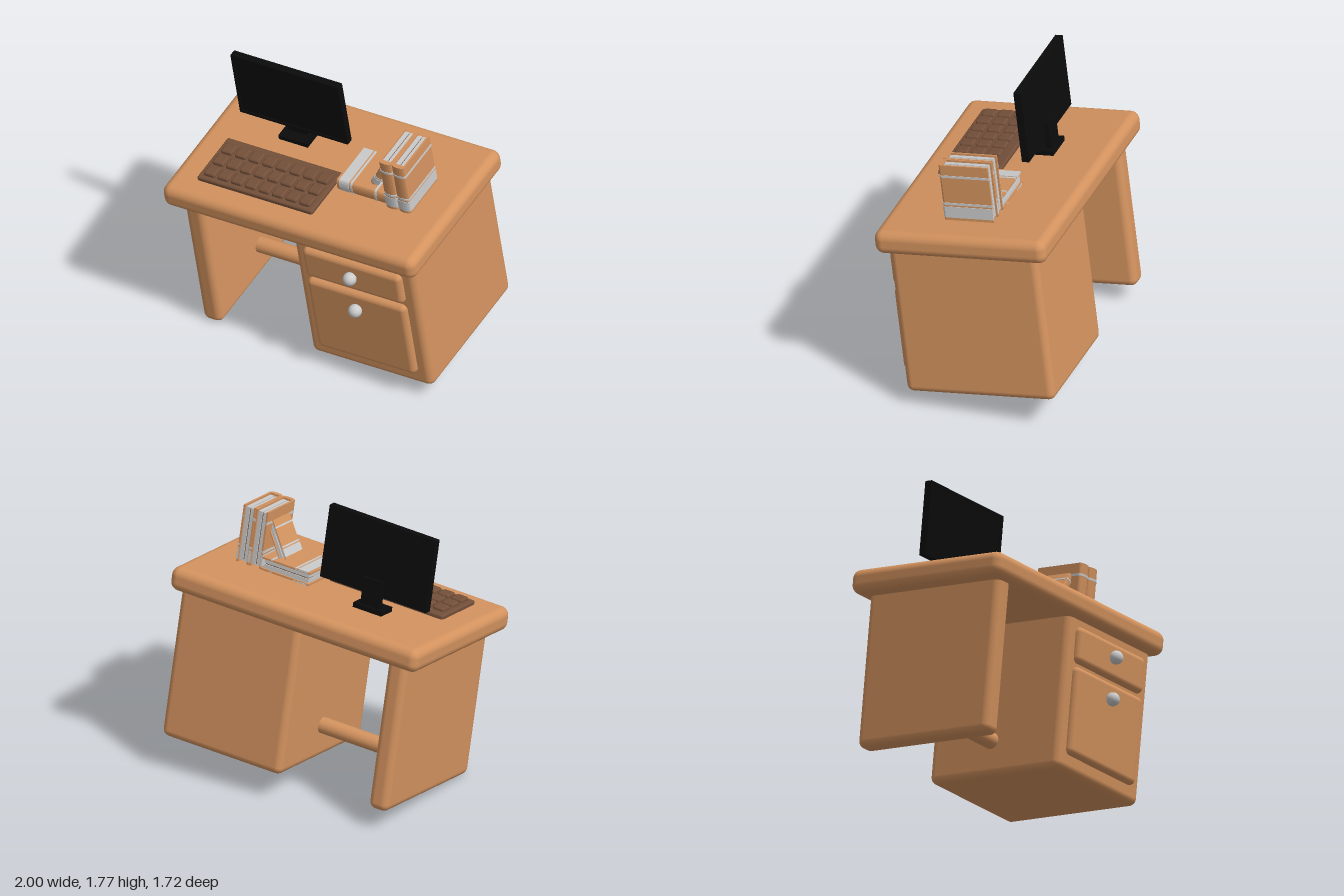
import * as THREE from 'three';
import { RoundedBoxGeometry } from 'three/addons/geometries/RoundedBoxGeometry.js';

const mat = (color) => new THREE.MeshStandardMaterial({ color });
const wood = mat(0xd4935f);
const brown = mat(0x74503a);
const black = mat(0x0b0b0b);
const grey = mat(0xcccccc);

function add(parent, name, geometry, material, x = 0, y = 0, z = 0) {
  const mesh = new THREE.Mesh(geometry, material);
  mesh.name = name;
  mesh.position.set(x, y, z);
  parent.add(mesh);
  return mesh;
}

// Box given by its limits on each axis; radius 0 keeps the edges sharp
function block(parent, name, material, [x0, x1], [y0, y1], [z0, z1], radius = 0) {
  const size = [x1 - x0, y1 - y0, z1 - z0];
  const geometry = radius
    ? new RoundedBoxGeometry(...size, 4, radius)
    : new THREE.BoxGeometry(...size);
  return add(parent, name, geometry, material, (x0 + x1) / 2, (y0 + y1) / 2, (z0 + z1) / 2);
}

// U-shaped book cover with a rounded spine towards +z, extruded upwards from y = 0
function coverGeometry(thick, depth, wall, height) {
  const a = thick / 2, d = depth / 2, r = thick * 0.3, i = a - wall;
  const s = new THREE.Shape();
  s.moveTo(-a, d);
  s.lineTo(-a, -d + r);
  s.bezierCurveTo(-a, -d, a, -d, a, -d + r);
  s.lineTo(a, d);
  s.lineTo(i, d);
  s.lineTo(i, -d + r + wall);
  s.lineTo(-i, -d + r + wall);
  s.lineTo(-i, d);
  s.closePath();
  const g = new THREE.ExtrudeGeometry(s, { depth: height, bevelEnabled: false, curveSegments: 10 });
  return g.rotateX(-Math.PI / 2);
}

// Book standing on y = 0, centred on x and z
function makeBook(name, thick, height, depth) {
  const book = new THREE.Group();
  book.name = name;
  const wall = thick * 0.14;
  add(book, 'cover', coverGeometry(thick, depth, wall, height), wood);
  // Page block in two halves with a dark gap between
  const half = thick / 2 - wall;
  const zs = [-depth / 2 + 0.012, depth / 2 - thick * 0.3 - wall];
  for (const side of [-1, 1]) {
    const xs = side < 0 ? [-half, -0.12 * half] : [0.12 * half, half];
    block(book, 'pages', grey, xs, [0.012, height - 0.012], zs);
  }
  block(book, 'pageGap', brown, [-half, half], [0.018, height - 0.018], [zs[0] + 0.006, zs[1]]);
  // Bands wrapping the cover
  for (const [from, to] of [[0.05, 0.25], [0.28, 0.32], [0.78, 0.82]]) {
    add(book, 'band', coverGeometry(thick + 0.006, depth + 0.004, wall, (to - from) * height), grey, 0, from * height, 0.001);
  }
  return book;
}

function makeDesk() {
  const desk = new THREE.Group();
  desk.name = 'desk';
  block(desk, 'deskTop', wood, [-0.87, 0.87], [1.026, 1.176], [-0.543, 0.543], 0.055);
  block(desk, 'legPanel', wood, [-0.766, -0.634], [0.084, 1.08], [-0.47, 0.48], 0.045);
  block(desk, 'drawerCabinet', wood, [-0.018, 0.82], [0.084, 1.08], [-0.47, 0.47], 0.045);

  const rail = add(desk, 'footRail', new THREE.CylinderGeometry(0.05, 0.05, 0.7, 24), wood, -0.33, 0.3, -0.03);
  rail.rotation.z = Math.PI / 2;

  // Drawer fronts with round knobs
  for (const [y0, y1, knobY] of [[0.185, 0.733, 0.62], [0.757, 0.98, 0.88]]) {
    block(desk, 'drawerFront', wood, [0.055, 0.735], [y0, y1], [0.42, 0.508], 0.035);
    add(desk, 'knob', new THREE.SphereGeometry(0.042, 24, 16), grey, 0.395, knobY, 0.532);
  }
  return desk;
}

function makeMonitor() {
  const monitor = new THREE.Group();
  monitor.name = 'monitor';
  const w = 0.745, h = 0.462, b = 0.018;
  block(monitor, 'screen', black, [-w / 2, w / 2], [0.097, 0.097 + h], [-0.022, 0.016]);
  // Raised frame around the screen
  const frame = new THREE.Shape([[-1, -1], [1, -1], [1, 1], [-1, 1]].map(
    ([x, y]) => new THREE.Vector2(x * w / 2, y * h / 2)));
  frame.holes.push(new THREE.Path([[-1, -1], [-1, 1], [1, 1], [1, -1]].map(
    ([x, y]) => new THREE.Vector2(x * (w / 2 - b), y * (h / 2 - b)))));
  add(monitor, 'screenFrame', new THREE.ExtrudeGeometry(frame, { depth: 0.008, bevelEnabled: false }), black, 0, 0.097 + h / 2, 0.016);
  block(monitor, 'neck', black, [-0.065, 0.065], [0.02, 0.2], [-0.045, -0.01]);
  block(monitor, 'standBase', black, [-0.1, 0.1], [0, 0.03], [-0.066, 0.055]);
  return monitor;
}

function makeKeyboard() {
  const keyboard = new THREE.Group();
  keyboard.name = 'keyboard';
  block(keyboard, 'keyboardBase', brown, [-0.397, 0.397], [-0.01, 0.026], [-0.186, 0.186], 0.012);
  const key = new RoundedBoxGeometry(0.078, 0.04, 0.084, 3, 0.013);
  for (let row = 0; row < 3; row++) {
    for (let col = 0; col < 8; col++) {
      add(keyboard, 'key', key, brown, (col - 3.5) * 0.094, 0.027, (row - 1) * 0.103 + 0.012);
    }
  }
  return keyboard;
}

function makeBooks() {
  const books = new THREE.Group();
  books.name = 'books';
  for (const x of [0.515, 0.603]) {
    const standing = makeBook('standingBook', 0.085, 0.365, 0.325);
    standing.position.set(x, 1.176, 0.008);
    books.add(standing);
  }
  const lying = makeBook('lyingBook', 0.083, 0.335, 0.312);
  lying.rotation.z = -Math.PI / 2;
  lying.position.set(0.135, 1.2185, 0);
  books.add(lying);

  const leaning = makeBook('leaningBook', 0.05, 0.245, 0.2);
  leaning.rotation.z = -0.53;
  leaning.position.set(0.362, 1.258, -0.002);
  books.add(leaning);
  return books;
}

export function createModel() {
  const model = new THREE.Group();
  model.name = 'deskWithComputer';

  // The whole desk is turned and tipped forwards
  const tilted = new THREE.Group();
  tilted.name = 'tiltedDesk';
  tilted.rotation.set(0.154, 0.419, 0);
  tilted.position.set(0, 0.022, -0.141);

  const monitor = makeMonitor();
  monitor.position.set(-0.317, 1.176, -0.156);
  const keyboard = makeKeyboard();
  keyboard.position.set(-0.297, 1.176, 0.21);
  tilted.add(makeDesk(), monitor, keyboard, makeBooks());
  model.add(tilted);
  return model;
}
